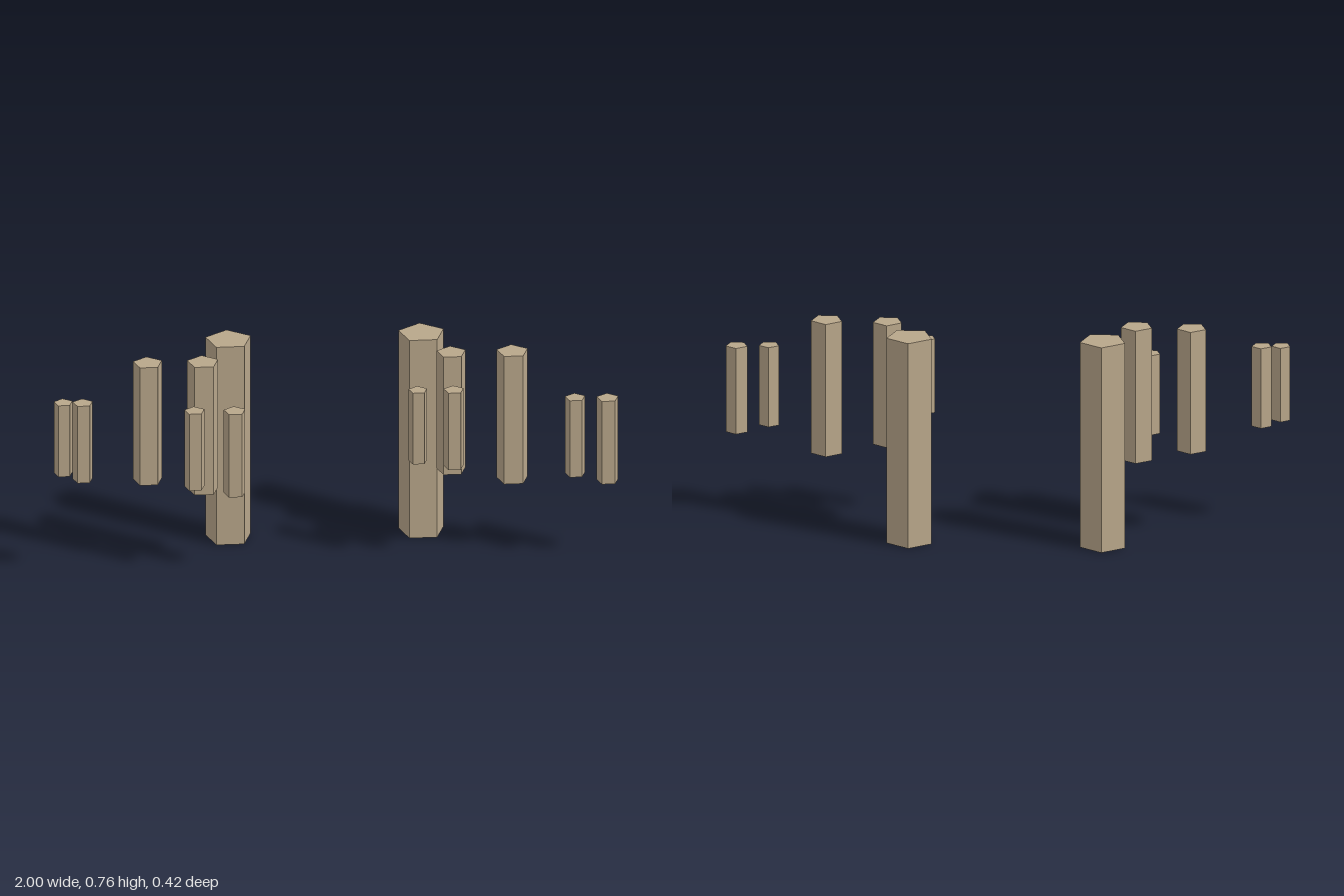
import * as THREE from 'three';

export function createModel() {
  const group = new THREE.Group();
  group.name = 'pillars';
  const material = new THREE.MeshStandardMaterial({ color: 0xb8a68a, flatShading: true });

  // Each size: name, radius, bottom, top, centre z, and the x of every copy
  const sizes = [
    ['tallPillar', 0.084, 0, 0.761, -0.124, [-0.356, 0.328]],
    ['mediumPillar', 0.0575, 0.265, 0.757, 0.0585, [-0.463, 0.634]],
    ['mediumShortPillar', 0.0535, 0.305, 0.758, 0.0515, [-0.658, 0.418]],
    ['smallLowPillar', 0.04, 0.297, 0.616, 0.177, [-0.361, 0.961]],
    ['smallMidPillar', 0.037, 0.326, 0.621, 0.175, [-0.503, 0.846]],
    ['smallHighPillar', 0.037, 0.365, 0.661, 0.1625, [-0.898, 0.417]],
    ['smallTopPillar', 0.0345, 0.39, 0.664, 0.16, [-0.967, 0.29]],
  ];

  for (const [name, radius, bottom, top, z, xs] of sizes) {
    // Five-sided prism with one edge to the back and a flat face to the front
    const geometry = new THREE.CylinderGeometry(radius, radius, top - bottom, 5);
    geometry.rotateY(Math.PI);
    for (const x of xs) {
      const pillar = new THREE.Mesh(geometry, material);
      pillar.name = name + (x > 0 ? 'Left' : 'Right');
      pillar.position.set(x, (bottom + top) / 2, z);
      group.add(pillar);
    }
  }
  return group;
}
